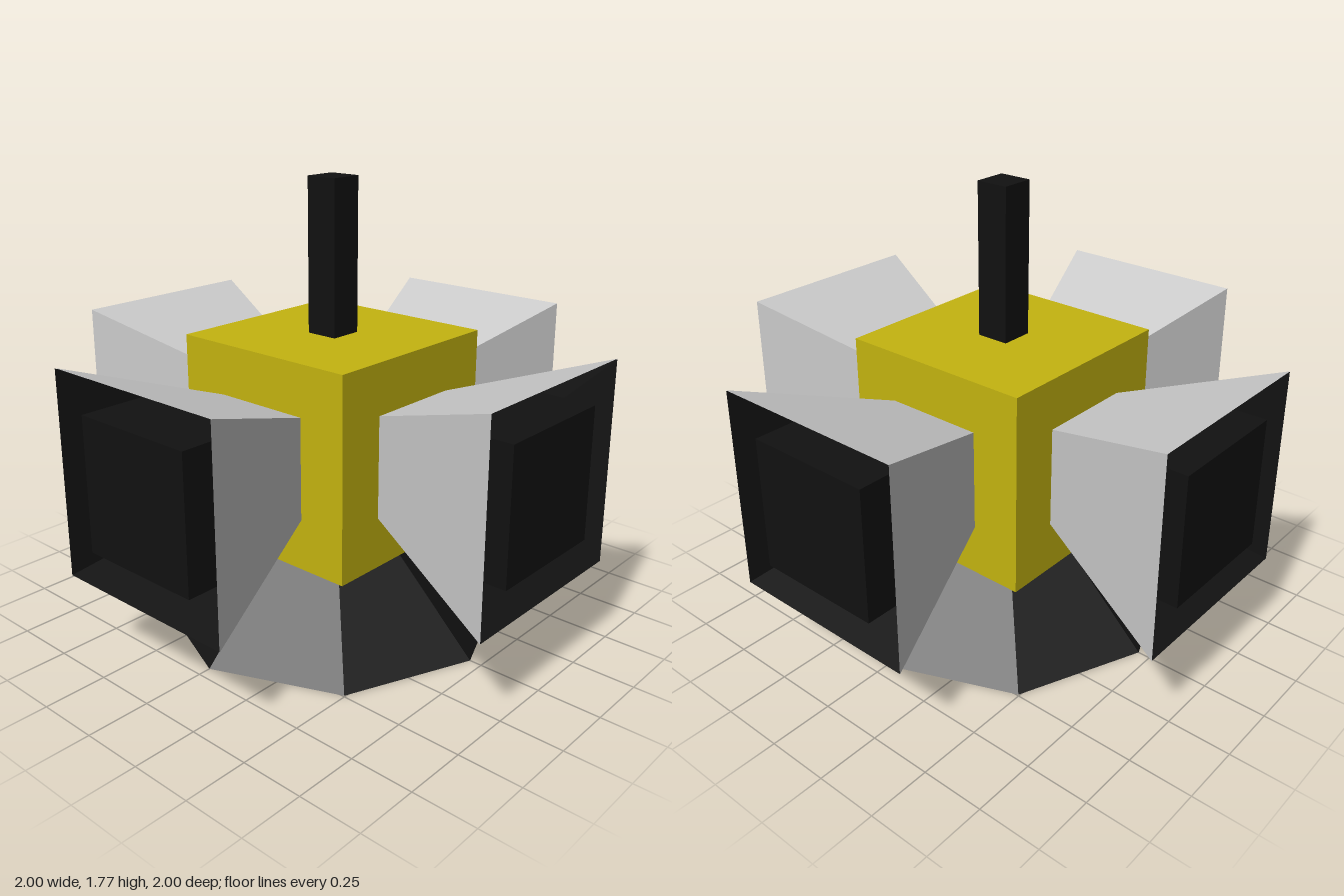
import * as THREE from 'three';

const paint = (color, side = THREE.FrontSide) =>
  new THREE.MeshStandardMaterial({ color, side, flatShading: true });

function part(name, geometry, material, y = 0, z = 0) {
  const mesh = new THREE.Mesh(geometry, material);
  mesh.name = name;
  mesh.position.set(0, y, z);
  return mesh;
}

// Open square funnel along z, given half widths at its back and mouth
function funnel(back, mouth, depth) {
  return new THREE.CylinderGeometry(mouth * Math.SQRT2, back * Math.SQRT2, depth, 4, 1, true)
    .rotateY(Math.PI / 4)
    .rotateX(Math.PI / 2);
}

// Shallow hollow under the base: each quadrant shades as one facet
function hollow(radius, height) {
  const positions = [], normals = [];
  const rim = (i) => {
    const a = (i * Math.PI) / 4;
    return [radius * Math.sin(a), 0, radius * Math.cos(a)];
  };
  for (let i = 0; i < 8; i++) {
    positions.push(0, height, 0, ...rim(i + 1), ...rim(i));
    const mid = Math.PI / 4 + Math.floor(i / 2) * (Math.PI / 2);
    const n = new THREE.Vector3(-height * Math.sin(mid), -radius * 0.85, -height * Math.cos(mid)).normalize();
    for (let k = 0; k < 3; k++) normals.push(n.x, n.y, n.z);
  }
  const g = new THREE.BufferGeometry();
  g.setAttribute('position', new THREE.Float32BufferAttribute(positions, 3));
  g.setAttribute('normal', new THREE.Float32BufferAttribute(normals, 3));
  return g;
}

export function createModel() {
  const model = new THREE.Group();
  model.name = 'fourWayHornBeacon';
  const grey = paint(0xcccccc);
  const black = paint(0x111111);
  const lining = paint(0x111111, THREE.BackSide);
  const yellow = paint(0xc4b410);
  const green = new THREE.MeshStandardMaterial({ color: 0x0b8a50 });
  const centerY = 0.77;

  // Central block and mast
  model.add(part('body', new THREE.BoxGeometry(0.8, 0.8, 0.8), yellow, centerY));
  model.add(part('mast', new THREE.BoxGeometry(0.133, 0.62, 0.133), black, 1.46));

  // Eight-sided base with a green hollow underneath
  model.add(part('base', new THREE.ConeGeometry(0.7, 0.66, 8, 1, true), black, 0.33));
  model.add(part('baseUnderside', hollow(0.7, 0.31), green));

  // Four horns: grey shell, dark lining, square core flush with the mouth
  for (let i = 0; i < 4; i++) {
    const horn = new THREE.Group();
    horn.name = 'horn' + ['Front', 'Left', 'Back', 'Right'][i];
    horn.add(part('hornShell', funnel(0.2, 0.4, 0.6), grey, 0, 0.7));
    horn.add(part('hornLining', funnel(0.198, 0.398, 0.6), lining, 0, 0.7));
    horn.add(part('hornCore', new THREE.BoxGeometry(0.52, 0.52, 0.42), black, 0, 0.79));
    horn.position.y = centerY;
    horn.rotation.y = (i * Math.PI) / 2;
    model.add(horn);
  }
  return model;
}
